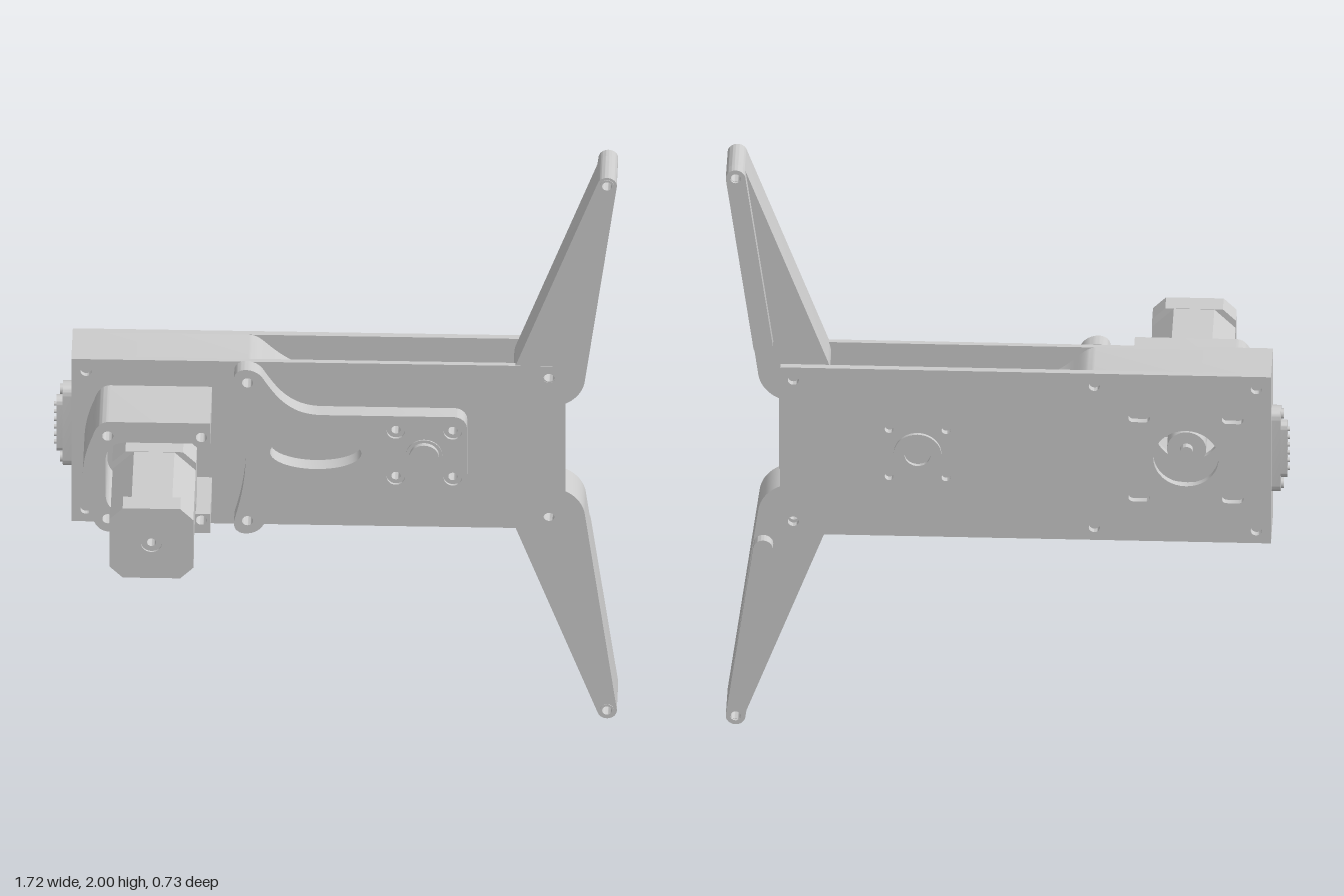
import * as THREE from 'three';
import { toCreasedNormals } from 'three/addons/utils/BufferGeometryUtils.js';

export function createModel() {
  const root = new THREE.Group();
  const mat = new THREE.MeshStandardMaterial({ color: 0xcccccc });

  const add = (name, geo) => {
    const mesh = new THREE.Mesh(geo, mat);
    mesh.name = name;
    root.add(mesh);
    return mesh;
  };
  // Flat part: an outline in x/y extruded from z0 to z1
  const slab = (name, shape, z0, z1) => {
    const geo = new THREE.ExtrudeGeometry(shape, { depth: z1 - z0, bevelEnabled: false, curveSegments: 20 });
    geo.translate(0, 0, z0);
    return add(name, toCreasedNormals(geo, 0.5));
  };
  const disc = (name, x, y, r, z0, z1, hole = 0) => {
    const s = circle(x, y, r);
    if (hole) s.holes.push(circle(x, y, hole));
    return slab(name, s, z0, z1);
  };
  const circle = (x, y, r) => new THREE.Shape().absarc(x, y, r, 0, Math.PI * 2, false);
  const rect = (x0, y0, x1, y1) => poly([[x0, y0], [x1, y0], [x1, y1], [x0, y1]]);
  const poly = (pts) => new THREE.Shape(pts.map(([x, y]) => new THREE.Vector2(x, y)));
  // Outline around two circles joined by their outer tangents
  const link = (x1, y1, r1, x2, y2, r2) => {
    const a = Math.atan2(y2 - y1, x2 - x1);
    const o = Math.acos((r1 - r2) / Math.hypot(x2 - x1, y2 - y1));
    const s = new THREE.Shape();
    s.absarc(x1, y1, r1, a + o, a - o + Math.PI * 2, false);
    s.absarc(x2, y2, r2, a - o, a + o, false);
    s.closePath();
    return s;
  };
  const chamfered = (x, y, h, c) => poly([
    [x - h + c, y - h], [x + h - c, y - h], [x + h, y - h + c], [x + h, y + h - c],
    [x + h - c, y + h], [x - h + c, y + h], [x - h, y + h - c], [x - h, y - h + c]]);

  const hubX = 0.27, motorX = -0.55;
  const hubBolts = [], motorBolts = [];
  for (const sx of [-1, 1]) for (const sy of [-1, 1]) {
    hubBolts.push([hubX + sx * 0.087, 1 + sy * 0.085]);
    motorBolts.push([motorX + sx * 0.143, 1 + sy * 0.143]);
  }
  const edgeHoles = () => [-0.765, -0.27, 0.65].flatMap(x => [0.745, 1.255].map(y => circle(x, y, 0.017)));

  // Back plate with motor opening, adjustment slots and hub holes
  const back = rect(-0.81, 0.7, 0.69, 1.3);
  back.holes.push(...edgeHoles(), circle(motorX, 1, 0.1), circle(hubX, 1, 0.045));
  hubBolts.forEach(([x, y]) => back.holes.push(circle(x, y, 0.014)));
  motorBolts.forEach(([x, y]) => back.holes.push(link(x - 0.018, y, 0.015, x + 0.018, y, 0.015)));
  slab('backPlate', back, -0.355, -0.335);

  // Front plate
  const front = rect(-0.81, 0.7, 0.7, 1.3);
  front.holes.push(...edgeHoles(), circle(motorX, 1, 0.1));
  slab('frontPlate', front, -0.205, -0.189);

  // Spacer body between the plates, narrowing towards the hub
  const body = new THREE.Shape();
  body.moveTo(-0.81, 0.7);
  body.lineTo(-0.27, 0.7);
  body.bezierCurveTo(-0.2, 0.7, -0.2, 0.85, 0.15, 0.85);
  body.lineTo(0.4, 0.85);
  body.lineTo(0.4, 1.15);
  body.lineTo(0.15, 1.15);
  body.bezierCurveTo(-0.2, 1.15, -0.2, 1.3, -0.27, 1.3);
  body.lineTo(-0.81, 1.3);
  body.closePath();
  body.holes.push(circle(motorX, 1, 0.18), circle(hubX, 1, 0.045));
  slab('spacerBody', body, -0.335, -0.205);

  // Legs: tapered bar with a raised strip along the outer edge at the back
  for (const s of [-1, 1]) {
    const y = v => 1 + s * (v - 1);
    const leg = link(0.65, y(1.26), 0.11, 0.827, y(1.97), 0.03);
    leg.holes.push(circle(0.65, y(1.26), 0.017), circle(0.827, y(1.97), 0.016));
    slab('leg', leg, -0.31, -0.19);
    const strip = link(0.743, y(1.365), 0.03, 0.827, y(1.97), 0.03);
    strip.holes.push(circle(0.827, y(1.97), 0.016));
    slab('legStrip', strip, -0.343, -0.309);
    disc('legTipBush', 0.827, y(1.97), 0.022, -0.335, -0.188, 0.015);
  }

  // Raised cover with two ears on the front plate
  const cover = new THREE.Shape();
  cover.moveTo(-0.31, 0.75);
  cover.bezierCurveTo(-0.325, 0.685, -0.25, 0.685, -0.225, 0.725);
  cover.bezierCurveTo(-0.18, 0.8, -0.14, 0.86, -0.04, 0.86);
  cover.lineTo(0.36, 0.86);
  cover.absarc(0.36, 0.9, 0.04, -Math.PI / 2, 0, false);
  cover.absarc(0.36, 1.1, 0.04, 0, Math.PI / 2, false);
  cover.lineTo(-0.04, 1.14);
  cover.bezierCurveTo(-0.14, 1.14, -0.18, 1.2, -0.225, 1.275);
  cover.bezierCurveTo(-0.25, 1.315, -0.325, 1.315, -0.31, 1.25);
  cover.quadraticCurveTo(-0.24, 1, -0.31, 0.75);
  cover.holes.push(new THREE.Shape().absellipse(-0.062, 1, 0.14, 0.06, 0, Math.PI * 2, false, 0),
    circle(hubX, 1, 0.055), circle(-0.27, 0.745, 0.017), circle(-0.27, 1.255, 0.017));
  hubBolts.forEach(([x, y]) => cover.holes.push(circle(x, y, 0.028)));
  slab('hubCover', cover, -0.19, -0.14);
  hubBolts.forEach(([x, y]) => disc('hubBolt', x, y, 0.028, -0.19, -0.148, 0.014));

  // Hub shaft
  disc('hubShaft', hubX, 1, 0.045, -0.345, -0.122);
  disc('hubBearing', hubX, 1, 0.055, -0.19, -0.136, 0.045);
  disc('hubRearCollar', hubX, 1, 0.073, -0.365, -0.355, 0.04);

  // Motor bracket, open towards the hub
  const bracket = new THREE.Shape();
  bracket.moveTo(-0.38, 0.8);
  bracket.lineTo(-0.69, 0.8);
  bracket.quadraticCurveTo(-0.725, 0.8, -0.74, 0.85);
  bracket.quadraticCurveTo(-0.8, 1, -0.74, 1.15);
  bracket.quadraticCurveTo(-0.725, 1.205, -0.69, 1.205);
  bracket.lineTo(-0.38, 1.205);
  bracket.lineTo(-0.38, 1.13);
  bracket.lineTo(-0.63, 1.13);
  bracket.quadraticCurveTo(-0.7, 1.13, -0.7, 1.06);
  bracket.lineTo(-0.7, 0.94);
  bracket.quadraticCurveTo(-0.7, 0.87, -0.63, 0.87);
  bracket.lineTo(-0.38, 0.87);
  bracket.closePath();
  motorBolts.forEach(([x, y]) => bracket.holes.push(circle(x, y + Math.sign(y - 1) * 0.01, 0.017)));
  slab('motorBracket', bracket, -0.19, 0.01);

  // Motor: two end caps, a more deeply chamfered core, and the shaft with pulley
  slab('motorFrontCap', chamfered(motorX, 1, 0.128, 0.04), -0.03, 0.055);
  slab('motorCore', chamfered(motorX, 1, 0.127, 0.065), 0.055, 0.3);
  const cap = chamfered(motorX, 1, 0.128, 0.04);
  cap.holes.push(circle(motorX, 1, 0.032));
  slab('motorRearCap', cap, 0.3, 0.363);
  disc('motorRearBearing', motorX, 1, 0.032, 0.3, 0.357, 0.014);
  disc('motorPilot', motorX, 1, 0.09, -0.05, -0.03);
  disc('motorShaft', motorX, 1, 0.02, -0.32, -0.05);
  disc('motorPulley', motorX, 1, 0.06, -0.3, -0.12);

  // Side connector with flange, shell and pins
  const zc = -0.283;
  const side = (name, w, h, x0, x1) => {
    const r = w / 2;
    const geo = new THREE.ExtrudeGeometry(link(0, -h / 2 + r, r, 0, h / 2 - r, r),
      { depth: x1 - x0, bevelEnabled: false, curveSegments: 12 });
    geo.rotateY(-Math.PI / 2);
    geo.translate(x1, 1, zc);
    add(name, toCreasedNormals(geo, 0.5));
  };
  side('connectorFlange', 0.066, 0.3, -0.838, -0.81);
  side('connectorShell', 0.044, 0.2, -0.858, -0.838);
  for (let i = 0; i < 6; i++) {
    const pin = add('connectorPin', new THREE.CylinderGeometry(0.007, 0.007, 0.012, 10));
    pin.rotation.z = Math.PI / 2;
    pin.position.set(-0.86, 0.93 + i * 0.028, zc);
  }
  for (const y of [0.875, 1.125]) {
    const screw = add('connectorScrew', new THREE.CylinderGeometry(0.016, 0.016, 0.01, 12));
    screw.rotation.z = Math.PI / 2;
    screw.position.set(-0.842, y, zc);
  }
  return root;
}
